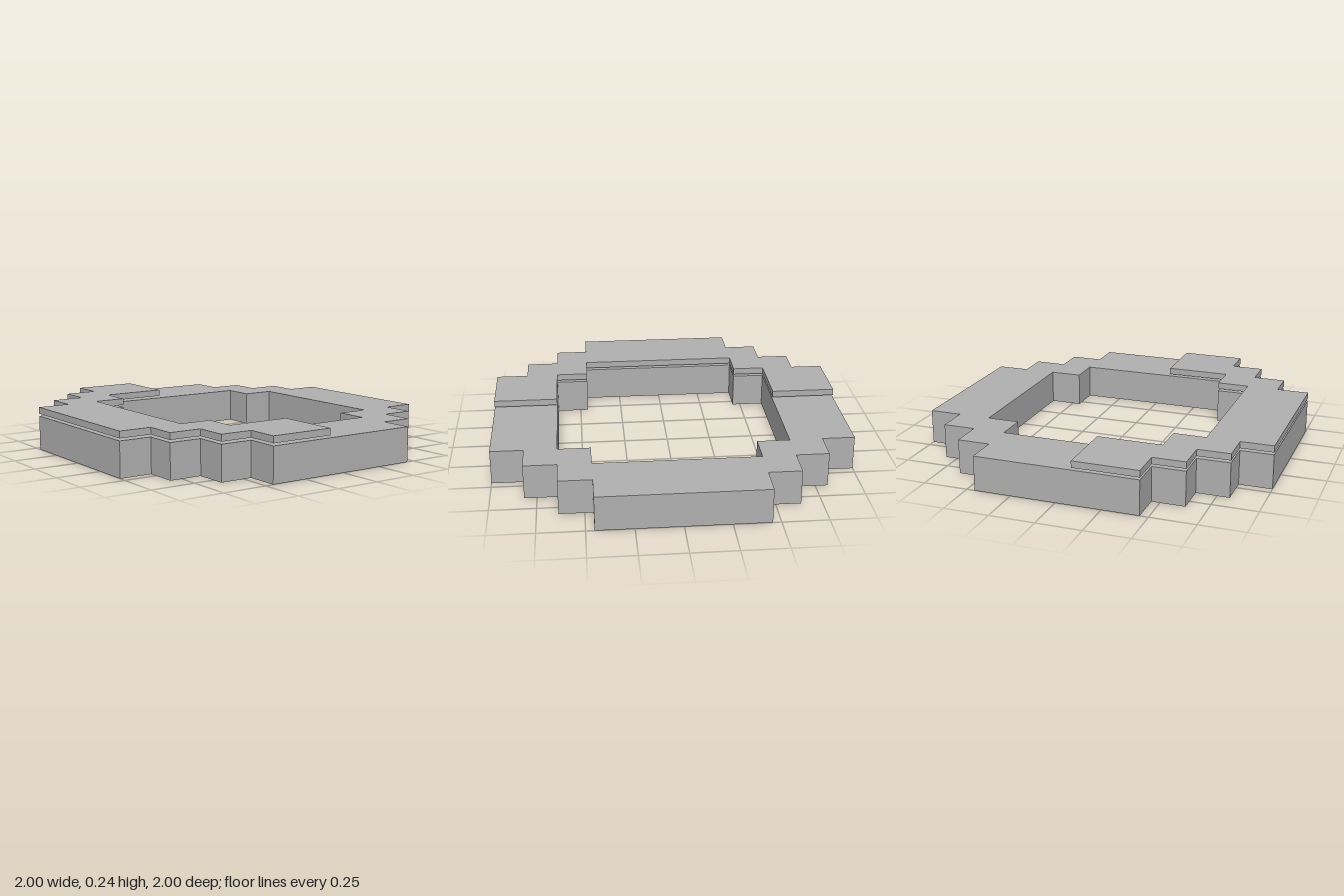
import * as THREE from 'three';

const U = 1 / 11; // plan grid step

// Stepped corners of one quadrant, in grid steps
const OUTER = [[11, 5], [9, 5], [9, 7], [7, 7], [7, 9], [5, 9], [5, 11]];
const INNER = [[7, 5], [5, 5], [5, 7]];

const toPoints = (list) => list.map(([x, z]) => new THREE.Vector2(x * U, z * U));

// Front half of an outline, running from +x round to -x
const frontHalf = (q) => [...q, ...q.map(([x, z]) => [-x, z]).reverse()];

// Full outline: the front half followed by its half turn
const fullLoop = (q) => {
  const half = frontHalf(q);
  return [...half, ...half.map(([x, z]) => [-x, -z])];
};

// Slab whose plan is (x, z), standing between two heights
function slab(shape, bottom, top) {
  const g = new THREE.ExtrudeGeometry(shape, { depth: top - bottom, bevelEnabled: false });
  g.rotateX(Math.PI / 2);
  g.translate(0, top, 0);
  return g;
}

export function createModel() {
  const group = new THREE.Group();
  const grey = new THREE.MeshStandardMaterial({ color: 0xb0b0b0 });
  grey.name = 'grey';

  const add = (name, geometry) => {
    const mesh = new THREE.Mesh(geometry, grey);
    mesh.name = name;
    group.add(mesh);
  };

  // Thick stepped ring
  const ring = new THREE.Shape(toPoints(fullLoop(OUTER)));
  ring.holes.push(new THREE.Path(toPoints(fullLoop(INNER))));
  add('baseRing', slab(ring, 0, 0.193));

  // Thin U-shaped plate floating just above the front half
  const plate = new THREE.Shape(toPoints([
    [11, 1], ...frontHalf(OUTER), [-11, 1],
    [-7, 1], ...frontHalf(INNER).reverse(), [7, 1],
  ]));
  add('frontPlate', slab(plate, 0.206, 0.243));

  return group;
}
